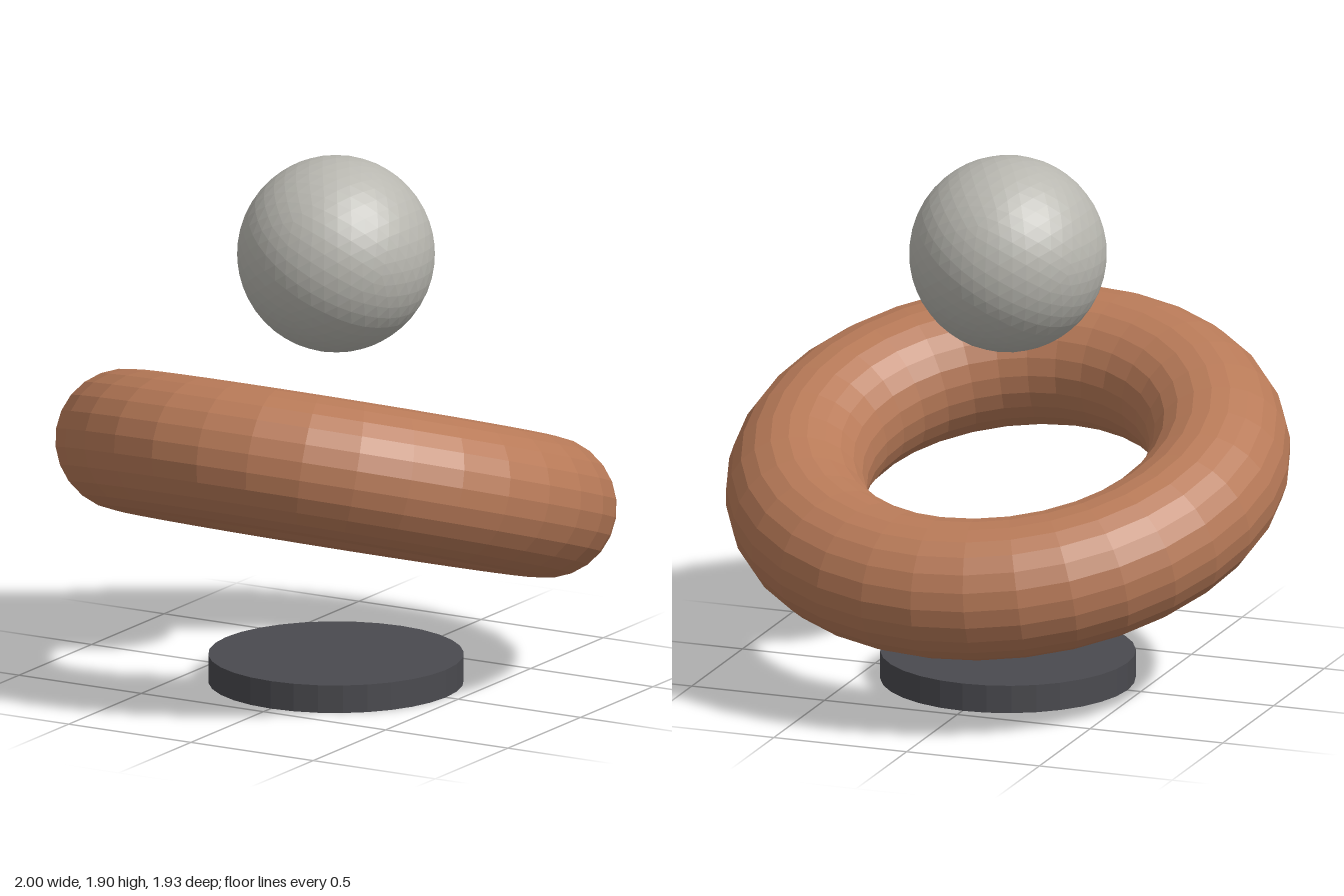
import * as THREE from 'three';

function part(name, geometry, color, y) {
  const material = new THREE.MeshStandardMaterial({ color, flatShading: true });
  const mesh = new THREE.Mesh(geometry, material);
  mesh.name = name;
  mesh.position.y = y;
  return mesh;
}

export function createModel() {
  const group = new THREE.Group();
  group.name = 'floatingRingSculpture';

  // Flat round base
  const base = part('base', new THREE.CylinderGeometry(0.45, 0.45, 0.1, 32), 0x4a4a4f, 0.05);

  // Hovering ring, its front raised by 18 degrees
  const ring = part('ring', new THREE.TorusGeometry(0.75, 0.25, 24, 32), 0xb87a58, 0.755);
  ring.rotation.x = THREE.MathUtils.degToRad(90 - 18);

  // Faceted ball floating above the ring
  const ball = part('ball', new THREE.IcosahedronGeometry(0.348, 7), 0xb8b7b0, 1.553);

  group.add(base, ring, ball);
  return group;
}
